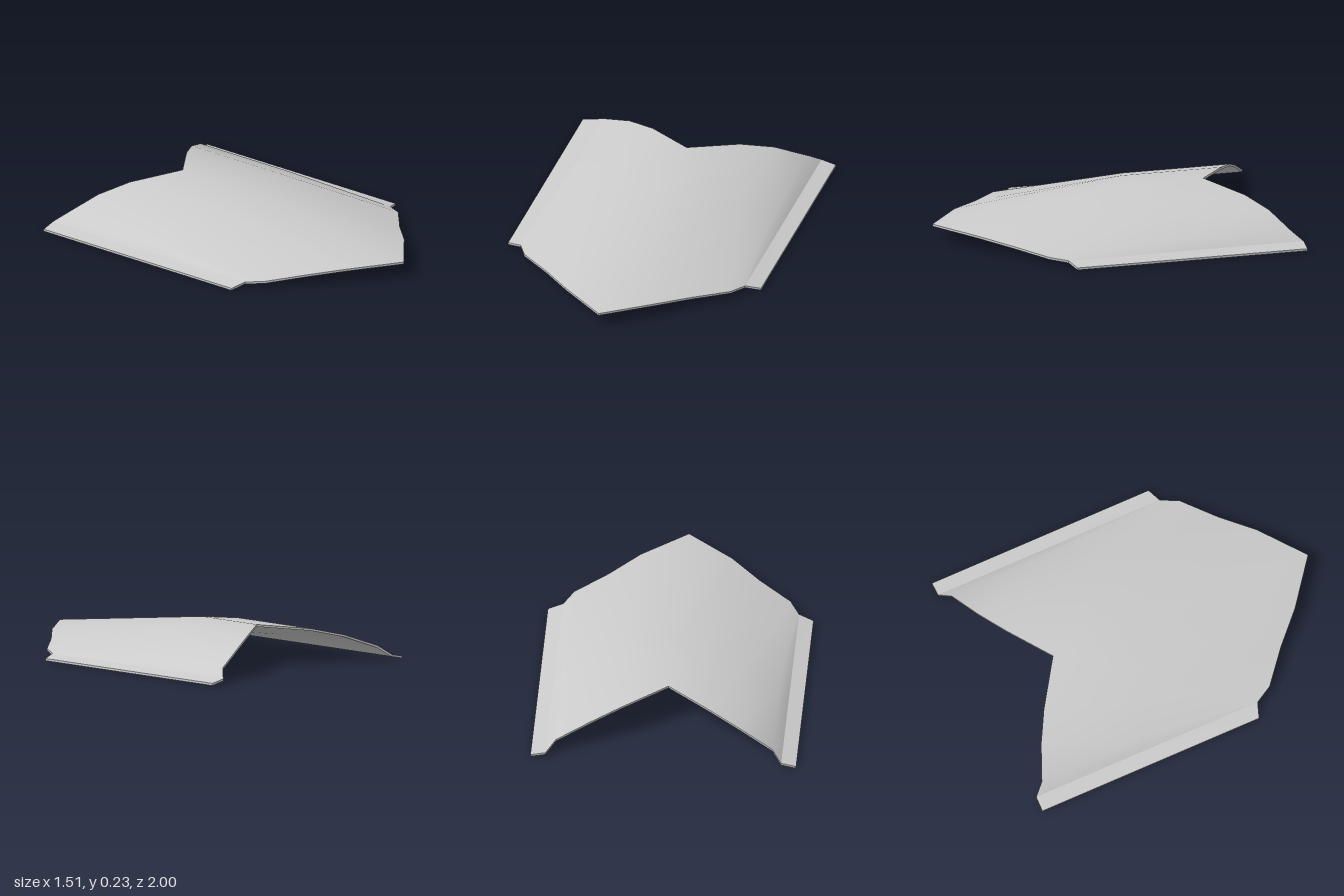
import * as THREE from 'three';
import { toCreasedNormals } from 'three/addons/utils/BufferGeometryUtils.js';

const THICKNESS = 0.013;

// Half section, centre to flange edge: x, then [z, y] at the back, crease and front
const HALF = [
  { x: 0, pts: [[-0.59, 0.23], [-0.15, 0.23], [1.0, 0.091]] },
  { x: 0.26, pts: [[-0.765, 0.198], [-0.18, 0.198], [0.8, 0.084]] },
  { x: 0.43, pts: [[-0.86, 0.155], [-0.23, 0.155], [0.635, 0.062]] },
  { x: 0.615, pts: [[-0.94, 0.083], [-0.31, 0.083], [0.48, 0.044]] },
  { x: 0.67, pts: [[-1.0, 0.032], [-0.33, 0.032], [0.38, 0.032]] },
  { x: 0.755, pts: [[-1.0, 0.014], [-0.34, 0.014], [0.35, 0.014]] },
];

function panelGeometry() {
  const mirrored = HALF.slice(1).reverse().map(({ x, pts }) => ({ x: -x, pts }));
  const columns = [...mirrored, ...HALF];
  const rows = 3;
  const last = columns.length - 1;
  const offset = columns.length * rows;
  const id = (c, r) => c * rows + r;

  // Top layer, then the same layer lowered by the sheet thickness
  const positions = [];
  for (const drop of [0, THICKNESS]) {
    for (const { x, pts } of columns) {
      for (const [z, y] of pts) positions.push(x, y - drop, z);
    }
  }

  const index = [];
  const sheet = (a, b, c) => {
    index.push(a, b, c, a + offset, c + offset, b + offset);
  };

  // Upper and lower skins, with diagonals mirrored about the ridge
  for (let i = 0; i < last; i++) {
    for (let r = 0; r < rows - 1; r++) {
      const a = id(i, r), b = id(i, r + 1);
      const c = id(i + 1, r + 1), d = id(i + 1, r);
      if (columns[i].x >= 0) {
        sheet(a, b, c);
        sheet(a, c, d);
      } else {
        sheet(a, b, d);
        sheet(b, c, d);
      }
    }
  }

  // Thin rim around the outline
  const rim = [];
  for (let i = 0; i <= last; i++) rim.push(id(i, rows - 1));
  for (let r = rows - 2; r >= 0; r--) rim.push(id(last, r));
  for (let i = last - 1; i >= 0; i--) rim.push(id(i, 0));
  for (let r = 1; r < rows - 1; r++) rim.push(id(0, r));
  rim.forEach((p, k) => {
    const q = rim[(k + 1) % rim.length];
    index.push(p + offset, q + offset, q, p + offset, q, p);
  });

  const geometry = new THREE.BufferGeometry();
  geometry.setAttribute('position', new THREE.Float32BufferAttribute(positions, 3));
  geometry.setIndex(index);
  return toCreasedNormals(geometry, Math.PI / 6);
}

export function createModel() {
  const model = new THREE.Group();
  model.name = 'archedPanel';

  // Arched sheet with a pointed front, notched back and side flanges
  const panel = new THREE.Mesh(
    panelGeometry(),
    new THREE.MeshStandardMaterial({ color: 0xcccccc }),
  );
  panel.name = 'flangedSheet';
  model.add(panel);
  return model;
}
